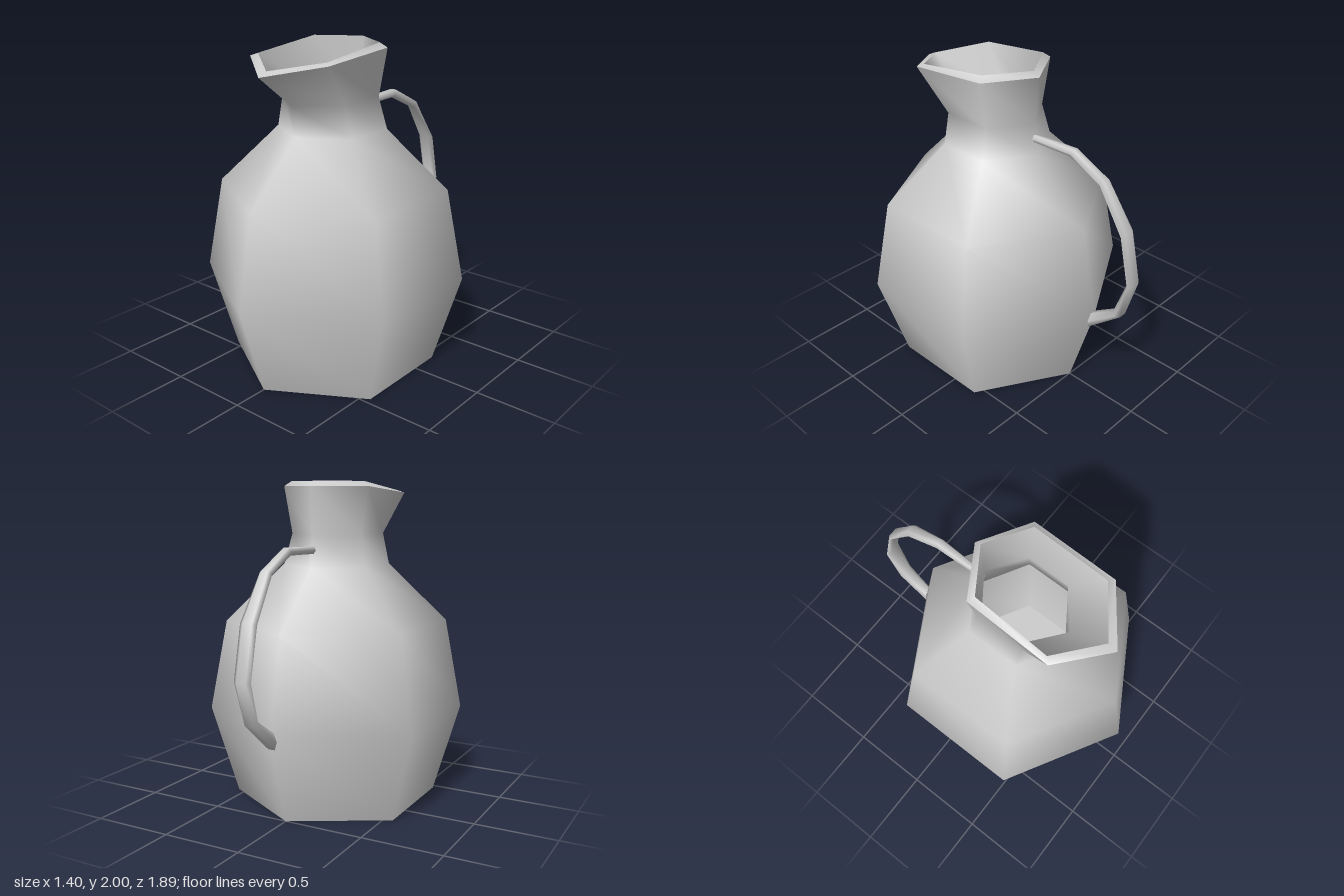
import * as THREE from 'three';

const material = new THREE.MeshStandardMaterial({ color: 0xcccccc });

// Skin a list of six-point rings; optional flat caps at first / last ring.
function loft(name, rings, capStart = false, capEnd = false) {
  const pos = [], idx = [], n = 6;
  rings.forEach(r => r.forEach(p => pos.push(...p)));
  for (let i = 0; i < rings.length - 1; i++) {
    for (let k = 0; k < n; k++) {
      const a = i * n + k, b = i * n + (k + 1) % n, c = a + n, d = b + n;
      idx.push(a, c, d, a, d, b);
    }
  }
  const cap = (ring, flip) => {
    const s = pos.length / 3;
    ring.forEach(p => pos.push(...p));
    for (let k = 1; k < n - 1; k++) {
      idx.push(s, ...(flip ? [s + k + 1, s + k] : [s + k, s + k + 1]));
    }
  };
  if (capStart) cap(rings[0], false);
  if (capEnd) cap(rings[rings.length - 1], true);
  const geo = new THREE.BufferGeometry();
  geo.setAttribute('position', new THREE.Float32BufferAttribute(pos, 3));
  geo.setIndex(idx);
  geo.computeVertexNormals();
  const mesh = new THREE.Mesh(geo, material);
  mesh.name = name;
  return mesh;
}

// Mirrored ring from [z, y] of: back point, back corners, front corners, front point.
function ring(xBack, xFront, back, backCorner, frontCorner, front) {
  const p = (x, [z, y]) => [x, y, z];
  return [p(0, back), p(xBack, backCorner), p(xFront, frontCorner),
    p(0, front), p(-xFront, frontCorner), p(-xBack, backCorner)];
}

// Regular hexagon around the body axis.
function hex(r, y, cz = 0.14) {
  const x = r * Math.sqrt(0.75);
  return ring(x, x, [cz - r, y], [cz - r / 2, y], [cz + r / 2, y], [cz + r, y]);
}

export function createModel() {
  const jug = new THREE.Group();
  jug.name = 'jug';

  // Neck and pouring lip rings
  const neckOuter = ring(0.24, 0.24, [-0.165, 1.68], [0, 1.68], [0.31, 1.68], [0.5, 1.68]);
  const neckInner = ring(0.213, 0.213, [-0.135, 1.68], [0.015, 1.68], [0.285, 1.68], [0.455, 1.68]);
  const rimOuter = ring(0.288, 0.295, [-0.19, 1.97], [-0.015, 1.97], [0.51, 1.93], [0.74, 1.868]);
  const rimInner = ring(0.25, 0.262, [-0.15, 2], [0.01, 2], [0.48, 1.945], [0.68, 1.895]);

  // Outer wall with base
  jug.add(loft('outerBody',
    [hex(0.642, 0), hex(0.81, 0.56), hex(0.7, 1.13), hex(0.33, 1.49), neckOuter, rimOuter], true));
  // Bevelled rim
  jug.add(loft('rim', [rimOuter, rimInner]));
  // Inner wall with floor
  jug.add(loft('innerBody',
    [rimInner, neckInner, hex(0.3, 1.48), hex(0.66, 1.11), hex(0.77, 0.56), hex(0.61, 0.04)], false, true));

  // Handle stations: outer z, outer y, inner z, inner y, half width
  const stations = [
    [-0.14, 1.613, -0.14, 1.57, 0.02],
    [-0.47, 1.625, -0.45, 1.58, 0.032],
    [-0.70, 1.51, -0.67, 1.48, 0.042],
    [-0.875, 1.245, -0.845, 1.235, 0.055],
    [-0.945, 0.93, -0.91, 0.94, 0.055],
    [-0.875, 0.68, -0.825, 0.695, 0.048],
    [-0.648, 0.485, -0.66, 0.59, 0.04],
  ];
  const sections = stations.map(([oz, oy, iz, iy, w]) => {
    const my = (oy + iy) / 2, mz = (oz + iz) / 2, h = w * 0.55;
    return [[h, oy, oz], [-h, oy, oz], [-w, my, mz], [-h, iy, iz], [h, iy, iz], [w, my, mz]];
  });
  jug.add(loft('handle', sections, true, true));

  return jug;
}
